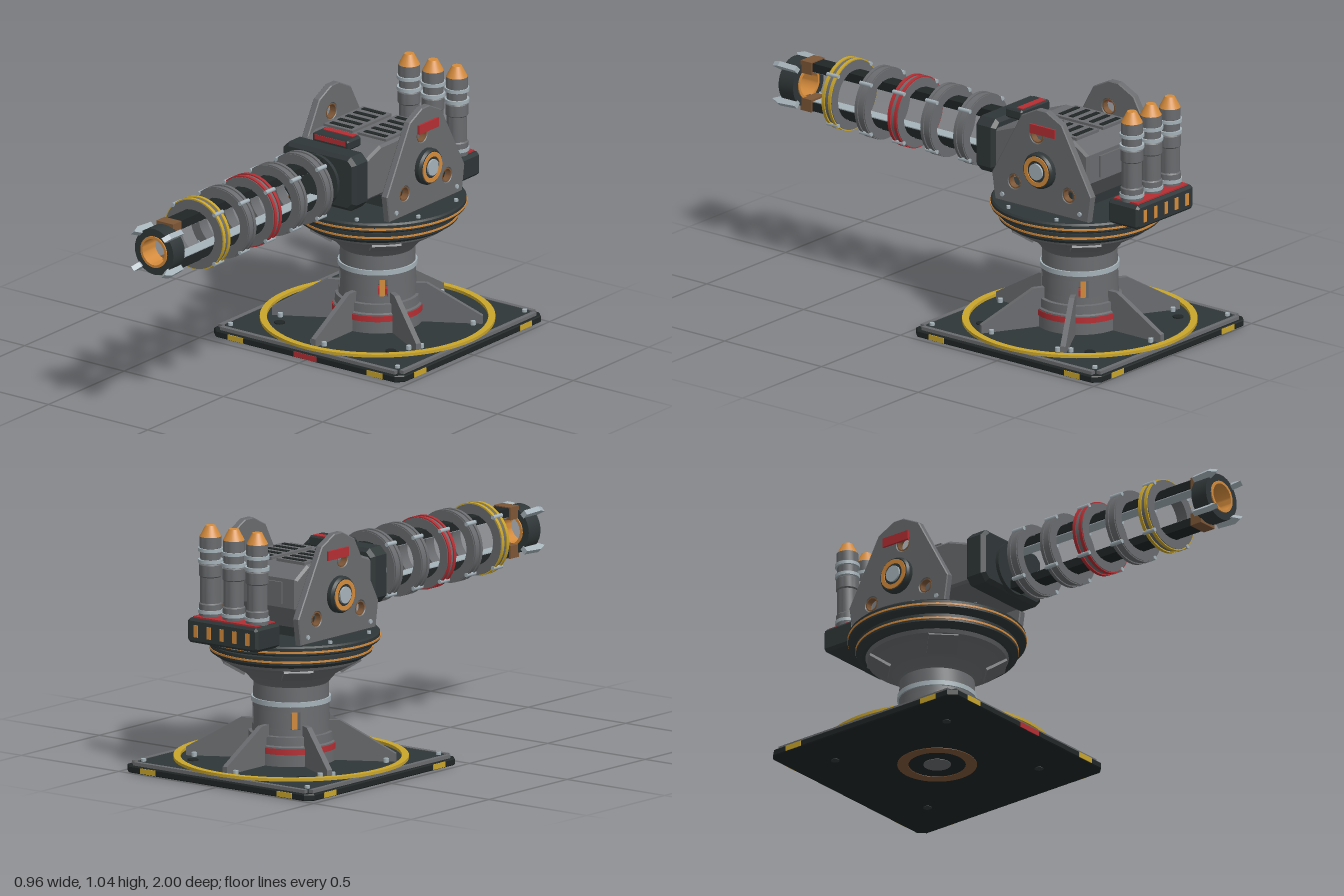
import * as THREE from 'three';
import { toCreasedNormals } from 'three/addons/utils/BufferGeometryUtils.js';

const mat = (name, color, side = THREE.FrontSide) => {
  const m = new THREE.MeshStandardMaterial({ color, side });
  m.name = name;
  return m;
};

export function createModel() {
  const dark = mat('dark armour', 0x2f3637);
  const black = mat('black metal', 0x202526);
  const grey = mat('grey metal', 0x696b6e, THREE.DoubleSide);
  const silver = mat('silver', 0xa6b3ba);
  const orange = mat('orange', 0xd48b3c);
  const brown = mat('copper brown', 0x7d5636);
  const yellow = mat('yellow', 0xc9a52c);
  const red = mat('red', 0xb52e33);

  const model = new THREE.Group();
  const group = (name, x, y, z, parent = model) => {
    const g = new THREE.Group();
    g.name = name;
    g.position.set(x, y, z);
    parent.add(g);
    return g;
  };
  const add = (parent, name, geo, material, x = 0, y = 0, z = 0) => {
    const m = new THREE.Mesh(geo, material);
    m.name = name;
    m.position.set(x, y, z);
    parent.add(m);
    return m;
  };
  const box = (w, h, d) => new THREE.BoxGeometry(w, h, d);
  const cyl = (r, h, n = 32, top = r) => new THREE.CylinderGeometry(top, r, h, n);
  const lathe = (pts, n = 64, start = 0, len = Math.PI * 2) => toCreasedNormals(
    new THREE.LatheGeometry(pts.map(p => new THREE.Vector2(...p)), n, start, len), 0.5);
  // square-section ring around y, centred on its height
  const ring = (ri, ro, h, n = 48) => lathe([[ri, -h / 2], [ro, -h / 2], [ro, h / 2], [ri, h / 2], [ri, -h / 2]], n);
  const shape = pts => new THREE.Shape(pts.map(p => new THREE.Vector2(...p)));
  // outline in xy, thickness along z and centred
  const prism = (s, depth, bevel = 0) => new THREE.ExtrudeGeometry(s, {
    depth: depth - 2 * bevel, bevelEnabled: bevel > 0, bevelThickness: bevel, bevelSize: bevel,
    bevelOffset: -bevel, bevelSegments: 1, curveSegments: 20,
  }).translate(0, 0, -(depth - 2 * bevel) / 2);
  // outline in (z, y), thickness along x
  const sidePrism = (pts, depth, bevel = 0) => prism(shape(pts), depth, bevel).rotateY(-Math.PI / 2);
  const chamfered = (x, y, c) => shape([[-x + c, -y], [x - c, -y], [x, -y + c], [x, y - c],
    [x - c, y], [-x + c, y], [-x, y - c], [-x, -y + c]]);
  const polar = (r, a) => [r * Math.sin(a), r * Math.cos(a)];

  const mount = group('mount', 0, 0, -0.52);

  // Base plate with frame, hazard marks and ring
  const base = group('base', 0, 0, 0, mount);
  add(base, 'basePlate', prism(chamfered(0.48, 0.48, 0.03), 0.028, 0.004).rotateX(-Math.PI / 2), black, 0, 0.016);
  add(base, 'baseTop', prism(chamfered(0.455, 0.455, 0.04), 0.014).rotateX(-Math.PI / 2), dark, 0, 0.035);
  add(base, 'hazardRing', ring(0.444, 0.472, 0.012, 96), yellow, 0, 0.05);
  for (let k = 0; k < 4; k++) {
    const side = group('baseSide', 0, 0, 0, base);
    side.rotation.y = k * Math.PI / 2;
    add(side, 'frameRail', box(0.88, 0.016, 0.02), grey, 0, 0.036, 0.455);
    for (const x of [-0.35, 0.35]) add(side, 'hazardMark', box(0.078, 0.022, 0.004), yellow, x, 0.016, 0.48);
    add(side, 'cornerBolt', cyl(0.011, 0.012, 6), silver, 0.42, 0.047, 0.42);
    add(side, 'groundBolt', cyl(0.018, 0.004, 12), dark, 0.29, 0.002, 0.29);
    add(side, 'plateStud', cyl(0.022, 0.006, 12), black, 0.28, 0.044, 0.28);
  }
  add(base, 'frontMark', box(0.115, 0.022, 0.004), red, 0, 0.016, 0.48);
  add(base, 'undersideRing', ring(0.115, 0.16, 0.004), brown, 0, 0.002);
  add(base, 'undersideCap', cyl(0.055, 0.004), grey, 0, 0.002);

  // Six gusset ribs around the pillar
  for (let k = 0; k < 6; k++) {
    const a = Math.PI / 6 + k * Math.PI / 3;
    const rib = shape([[0.13, 0.04], [0.425, 0.04], [0.425, 0.075], [0.2, 0.205], [0.13, 0.205]]);
    add(base, 'rib', prism(rib, 0.022).rotateY(a), grey);
    for (const s of [-0.07, 0.07]) {
      const [x, z] = polar(0.39, a + Math.PI / 2 + s);
      add(base, 'ribBolt', cyl(0.011, 0.018, 6), silver, x, 0.05, z);
    }
  }

  // Hollow pillar, slotted on the diagonals
  const pillar = group('pillar', 0, 0, 0, mount);
  add(pillar, 'pillarFoot', lathe([[0.18, 0.04], [0.18, 0.12], [0.172, 0.125], [0.17, 0.16], [0.157, 0.162], [0.156, 0.19]]), grey);
  add(pillar, 'redBand', ring(0.15, 0.183, 0.024), red, 0, 0.103);
  for (let k = 0; k < 4; k++) {
    const a = Math.PI / 4 + k * Math.PI / 2;
    add(pillar, 'slottedWall', lathe([[0.156, 0.19], [0.154, 0.26]], 16, a + 0.13, Math.PI / 2 - 0.26), grey);
    const [x, z] = polar(0.135, a);
    add(pillar, 'slotLight', box(0.022, 0.08, 0.006), orange, x, 0.225, z).rotation.y = a;
  }
  add(pillar, 'pillarNeck', lathe([[0.154, 0.26], [0.151, 0.36], [0.185, 0.4], [0.28, 0.455], [0.29, 0.475]]), grey);
  add(pillar, 'silverBand', ring(0.15, 0.16, 0.02), silver, 0, 0.291);
  for (let k = 0; k < 4; k++) {
    const panel = group('flarePanel', 0, 0, 0, pillar);
    panel.rotation.y = Math.PI / 4 + k * Math.PI / 2;
    add(panel, 'flarePlate', box(0.12, 0.012, 0.095), grey, 0, 0.427, 0.234).rotation.x = -0.525;
  }

  // Turntable: two dark discs with orange seams
  const turret = group('turret', 0, 0, 0, mount);
  add(turret, 'lowerDisc', lathe([[0, 0.47], [0.3, 0.47], [0.325, 0.487], [0.325, 0.518], [0.3, 0.522], [0.3, 0.53],
    [0.35, 0.53], [0.357, 0.536], [0.357, 0.563], [0.35, 0.57], [0, 0.57]], 72), dark);
  add(turret, 'lowerSeam', ring(0.31, 0.328, 0.008, 72), orange, 0, 0.5);
  add(turret, 'upperSeam', ring(0.34, 0.36, 0.008, 72), orange, 0, 0.547);
  for (let k = 0; k < 8; k++) {
    const [x, z] = polar(0.325, Math.PI / 8 + k * Math.PI / 4);
    add(turret, 'discBolt', cyl(0.009, 0.014, 6), silver, x, 0.574, z);
  }

  // Housing between the cheeks
  add(turret, 'housingFoot', box(0.37, 0.09, 0.22), dark, 0, 0.61, 0);
  add(turret, 'housing', sidePrism([[0.31, 0.66], [0.31, 0.83], [0.2, 0.87], [-0.1, 0.87], [-0.18, 0.82],
    [-0.18, 0.7], [-0.09, 0.58], [0.1, 0.58], [0.12, 0.66]], 0.34, 0.01), grey);
  for (const x of [-0.085, 0.085]) {
    add(turret, 'ventPanel', box(0.145, 0.012, 0.26), grey, x, 0.874, 0.02);
    for (let i = 0; i < 5; i++) add(turret, 'vent', box(0.11, 0.004, 0.022), black, x, 0.881, -0.085 + i * 0.052);
  }
  add(turret, 'rearHatch', box(0.2, 0.09, 0.01), grey, 0, 0.76, -0.183);
  add(turret, 'mantlet', prism(chamfered(0.185, 0.115, 0.03), 0.1, 0.015), dark, 0, 0.755, 0.345);
  add(turret, 'mantletPlate', cyl(0.11, 0.02).rotateX(Math.PI / 2), dark, 0, 0.745, 0.4);
  add(turret, 'sightBox', prism(chamfered(0.092, 0.022, 0.008), 0.085, 0.006), dark, 0, 0.882, 0.27);
  add(turret, 'sightTop', box(0.15, 0.005, 0.03), red, 0, 0.905, 0.25);
  add(turret, 'sightFace', box(0.155, 0.02, 0.004), red, 0, 0.888, 0.313);

  // Cheek plates with holes, trunnion hubs and red tabs
  for (const s of [-1, 1]) {
    const cheek = group(s > 0 ? 'leftCheek' : 'rightCheek', s * 0.228, 0, 0, turret);
    const outline = shape([[-0.24, 0.57], [0.24, 0.57], [0.257, 0.68], [0.105, 0.955], [0.025, 0.995],
      [-0.025, 0.995], [-0.105, 0.955], [-0.257, 0.68]]);
    const holes = [[-0.14, 0.665, 0.03], [0.14, 0.665, 0.03], [0.025, 0.885, 0.033]];
    for (const [z, y, r] of holes) {
      outline.holes.push(new THREE.Path().absarc(z, y, r, 0, Math.PI * 2, true));
      add(cheek, 'holeRim', ring(r - 0.005, r, 0.028, 24).rotateZ(Math.PI / 2), brown, 0, y, z);
    }
    add(cheek, 'cheekPlate', prism(outline, 0.032, 0.004).rotateY(-Math.PI / 2), grey);
    add(cheek, 'redTab', box(0.01, 0.038, 0.13), red, s * 0.02, 0.912, -0.01);
    const hub = group('hub', 0, 0.745, 0, cheek);
    hub.rotation.z = -s * Math.PI / 2;
    add(hub, 'axle', cyl(0.055, 0.07), silver, 0, -0.02);
    add(hub, 'hubBody', lathe([[0, 0.015], [0.075, 0.015], [0.075, 0.035], [0.068, 0.046], [0, 0.046]], 40), dark);
    add(hub, 'hubRing', ring(0.045, 0.063, 0.008), orange, 0, 0.046);
    add(hub, 'hubCap', cyl(0.034, 0.01, 24), silver, 0, 0.049);
    for (const z of [-0.2, 0.2]) add(cheek, 'cheekBolt', cyl(0.01, 0.01, 6).rotateZ(Math.PI / 2), silver, s * 0.018, 0.6, z);
  }

  // Rocket pod on the rear edge
  const pod = group('rocketPod', 0, 0, -0.367, turret);
  add(pod, 'podBox', prism(chamfered(0.18, 0.05, 0.012), 0.155, 0.01), dark, 0, 0.616, 0);
  add(pod, 'podTop', box(0.32, 0.008, 0.125), red, 0, 0.668, 0);
  for (let i = -2; i <= 2; i++) add(pod, 'podLight', box(0.02, 0.05, 0.005), orange, i * 0.066, 0.616, -0.078);
  for (const x of [-0.12, 0, 0.12]) {
    const rocket = group('rocket', x, 0, 0, pod);
    add(rocket, 'rocketBody', lathe([[0, 0.665], [0.046, 0.665], [0.046, 0.72], [0.041, 0.725], [0.041, 0.83],
      [0.046, 0.835], [0.046, 0.88], [0.041, 0.885], [0.041, 0.945], [0.044, 0.95], [0.044, 0.995], [0, 0.995]], 28), grey);
    for (const y of [0.69, 0.895, 0.942]) add(rocket, 'rocketBand', ring(0.038, 0.05, 0.014, 28), silver, 0, y);
    add(rocket, 'rocketNose', cyl(0.044, 0.046, 28, 0.02), orange, 0, 1.017);
  }

  // Gun: two rails carrying five coil rings
  const gun = group('gun', 0, 0.745, 0);
  for (const s of [-1, 1]) {
    add(gun, 'rail', box(0.068, 0.036, 1.02), black, 0, s * 0.083, 0.36);
    add(gun, 'railLiner', box(0.056, 0.006, 1.0), silver, 0, s * 0.064, 0.35);
    add(gun, 'railClamp', box(0.085, 0.052, 0.055), brown, 0, s * 0.079, 0.86);
  }
  [-0.01, 0.16, 0.33, 0.5, 0.67].forEach((z, i) => {
    const coil = group('coil', 0, 0, z, gun);
    coil.rotation.x = Math.PI / 2;
    const paint = i === 2 ? red : i === 4 ? yellow : grey;
    add(coil, 'coilRing', ring(0.104, 0.144, 0.052), grey);
    for (const y of [-0.016, 0.016]) add(coil, 'coilBand', ring(0.135, 0.149, 0.014), paint, 0, y);
    for (let k = 0; k < 4; k++) {
      const [x, zz] = polar(0.147, Math.PI / 4 + k * Math.PI / 2);
      add(coil, 'coilBolt', cyl(0.009, 0.058, 8), silver, x, 0, zz);
    }
  });

  // Muzzle collar with four prongs
  add(gun, 'muzzleCollar', ring(0.064, 0.097, 0.075, 32).rotateX(Math.PI / 2), dark, 0, 0, 0.92);
  add(gun, 'muzzleRing', ring(0.055, 0.066, 0.085, 40).rotateX(Math.PI / 2), orange, 0, 0, 0.92);
  for (let k = 0; k < 4; k++) {
    const arm = group('prong', 0, 0, 0, gun);
    arm.rotation.z = Math.PI / 4 + k * Math.PI / 2;
    add(arm, 'prongBlade', sidePrism([[0.88, 0.09], [0.965, 0.09], [1.0, 0.108], [0.965, 0.122], [0.88, 0.117]], 0.022), silver);
  }
  return model;
}
